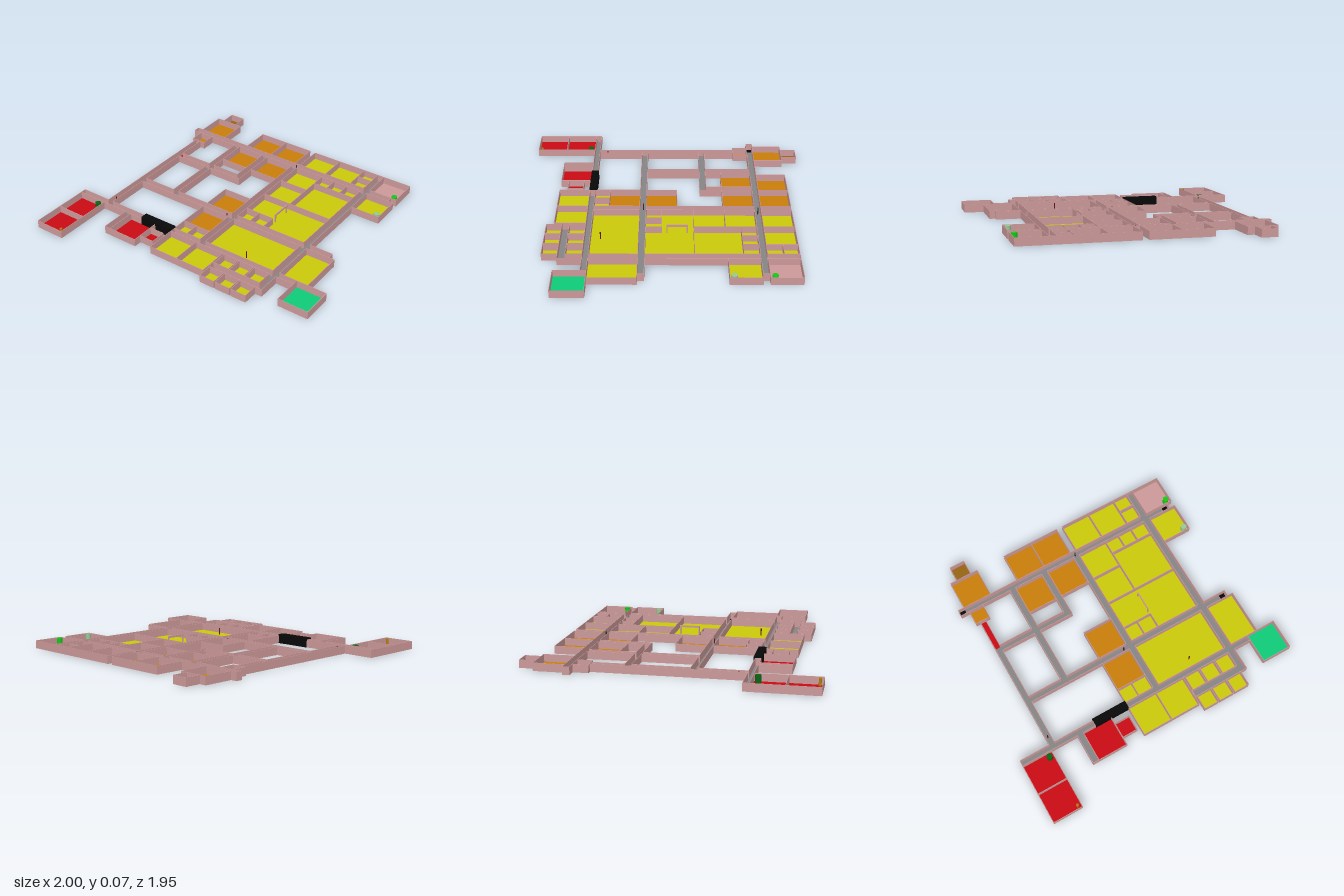
import * as THREE from 'three';

const H = 0.055, T = 0.003, FLOOR = 0.004;
const mats = {};
const mat = c => (mats[c] ??= new THREE.MeshStandardMaterial({ color: c }));
const YELLOW = 0xc8c80a, ORANGE = 0xc87d0a, BROWN = 0x966414, RED = 0xc80a14;
const GREEN = 0x0fca78, PINK = 0xcc9999, GREY = 0x858585, BLACK = 0x080808;

// Rooms by colour: x0, z0, x1, z1
const rooms = [
  [ORANGE, [
    [-0.83, -0.87, -0.62, -0.66], [-0.81, -0.615, -0.705, -0.51],
    [-0.405, -0.87, -0.19, -0.66], [-0.19, -0.87, 0.025, -0.66],
    [-0.445, -0.615, -0.235, -0.4], [-0.19, -0.615, 0.025, -0.4],
    [-0.19, -0.08, 0.025, 0.135], [-0.19, 0.18, 0.025, 0.395]]],
  [BROWN, [[-0.78, -0.98, -0.67, -0.87]]],
  [YELLOW, [
    [-0.19, 0.395, -0.085, 0.5], [-0.085, 0.395, 0.025, 0.5],
    [0.07, -0.87, 0.285, -0.66], [0.285, -0.87, 0.495, -0.66],
    [0.495, -0.87, 0.605, -0.77], [0.495, -0.77, 0.605, -0.66],
    [0.07, -0.615, 0.285, -0.405], [0.07, -0.405, 0.285, -0.19],
    [0.285, -0.615, 0.39, -0.51], [0.39, -0.615, 0.495, -0.51], [0.495, -0.615, 0.605, -0.51],
    [0.285, -0.51, 0.605, -0.19], [0.07, -0.19, 0.605, 0.135],
    [0.07, 0.18, 0.605, 0.5], [0.655, 0.18, 0.865, 0.5], [0.655, -0.615, 0.865, -0.405],
    [-0.19, 0.54, 0.025, 0.755], [0.025, 0.54, 0.24, 0.755]]],
  [PINK, [[0.655, -0.87, 0.865, -0.66]]],
  [GREEN, [[0.785, 0.5, 1, 0.715]]],
  [RED, [
    [-1, 0.54, -0.785, 0.755], [-1, 0.755, -0.785, 0.97],
    [-0.54, 0.54, -0.325, 0.755], [-0.325, 0.59, -0.215, 0.7]]],
];
// Two facing rows of small cells
for (const x of [0.255, 0.375, 0.495])
  rooms[2][1].push([x, 0.54, x + 0.11, 0.65], [x, 0.7, x + 0.11, 0.805]);

// Corridors, open to each other where they meet
const corridors = [
  [GREY, [
    [-0.83, -0.66, 0.785, -0.615], [-0.74, 0.135, 0.785, 0.18],
    [-1, 0.5, -0.445, 0.54], [-0.19, 0.5, 0.785, 0.54],
    [-0.78, -0.29, -0.19, -0.245], [0.245, 0.65, 0.605, 0.7],
    [-0.78, -0.245, -0.74, 0.5], [-0.49, -0.615, -0.445, 0.135],
    [-0.235, -0.615, -0.19, -0.29], [0.025, -0.615, 0.07, 0.5],
    [0.605, -0.87, 0.655, 0.7], [-0.585, 0.54, -0.54, 0.755]]],
  [RED, [[-0.78, -0.51, -0.74, -0.29]]],
  [BLACK, [[-0.875, -0.66, -0.83, -0.615], [0.785, -0.66, 0.825, -0.615], [0.785, 0.135, 0.825, 0.18]]],
];

export function createModel() {
  const root = new THREE.Group();
  const group = name => {
    const g = new THREE.Group();
    g.name = name;
    root.add(g);
    return g;
  };
  const box = (parent, name, c, x0, y0, z0, x1, y1, z1) => {
    const m = new THREE.Mesh(new THREE.BoxGeometry(x1 - x0, y1 - y0, z1 - z0), mat(c));
    m.position.set((x0 + x1) / 2, (y0 + y1) / 2, (z0 + z1) / 2);
    m.name = name;
    parent.add(m);
  };

  // Wall intervals gathered per line so that shared walls are built once
  const lines = new Map();
  const addWall = (axis, at, a, b) => {
    const key = axis + at;
    if (!lines.has(key)) lines.set(key, { axis, at, spans: [] });
    lines.get(key).spans.push([a, b]);
  };
  const edges = ([x0, z0, x1, z1]) => [['x', x0, z0, z1], ['x', x1, z0, z1], ['z', z0, x0, x1], ['z', z1, x0, x1]];

  // Floors
  const floors = group('floors');
  for (const [list, name] of [[rooms, 'roomFloor'], [corridors, 'corridorFloor']])
    for (const [c, rects] of list)
      for (const [x0, z0, x1, z1] of rects) box(floors, name, c, x0, 0, z0, x1, FLOOR, z1);

  // Room walls
  for (const [, rects] of rooms) for (const r of rects) edges(r).forEach(e => addWall(...e));
  addWall('x', 0.175, 0.025, 0.135);
  addWall('x', 0.285, 0.025, 0.135);
  addWall('z', 0.025, 0.07, 0.285);

  // Corridor walls, cut away at junctions
  const halls = corridors.flatMap(([, rects]) => rects);
  for (const r of halls) for (const [axis, at, a, b] of edges(r)) {
    let spans = [[a, b]];
    for (const o of halls) {
      if (o === r) continue;
      const [lo, hi, s, e] = axis === 'x' ? [o[0], o[2], o[1], o[3]] : [o[1], o[3], o[0], o[2]];
      if (at < lo || at > hi) continue;
      spans = spans.flatMap(([p, q]) => [[p, Math.min(q, s)], [Math.max(p, e), q]].filter(v => v[1] - v[0] > 1e-4));
    }
    spans.forEach(s => addWall(axis, at, ...s));
  }

  // Merge overlapping intervals and build the walls
  const walls = group('walls');
  for (const { axis, at, spans } of lines.values()) {
    spans.sort((p, q) => p[0] - q[0]);
    const merged = [];
    for (const [a, b] of spans) {
      const last = merged[merged.length - 1];
      if (last && a <= last[1] + 1e-4) last[1] = Math.max(last[1], b);
      else merged.push([a, b]);
    }
    const h = T / 2;
    for (const [a, b] of merged) {
      if (axis === 'x') box(walls, 'wall', PINK, at - h, 0, a, at + h, H, b);
      else box(walls, 'wall', PINK, a, 0, at - h, b, H, at + h);
    }
  }

  // Solid dark block across the front corridor
  box(root, 'darkBlock', BLACK, -0.445, 0, 0.49, -0.19, 0.065, 0.543);

  // Free-standing arch in the large hall
  const arch = group('arch');
  box(arch, 'archLintel', PINK, 0.281, 0.055, -0.15, 0.289, 0.068, -0.005);
  for (const z of [-0.15, -0.013]) box(arch, 'archPost', PINK, 0.281, 0, z, 0.289, 0.055, z + 0.008);

  // Round tanks and slim posts
  const columns = group('columns');
  for (const [name, c, x, z, r] of [
    ['tank', 0x14c814, 0.835, -0.69, 0.02], ['tank', 0x96c896, 0.835, -0.435, 0.02],
    ['tank', 0x0a6414, -0.815, 0.57, 0.02], ['post', 0xb47d0a, -0.81, 0.945, 0.009],
    ['post', 0x641414, 0.355, 0.435, 0.004], ['post', 0x333333, 0.05, -0.64, 0.004],
    ['post', 0x641414, -0.005, 0.155, 0.004], ['post', 0x641414, -0.76, 0.44, 0.004]]) {
    const m = new THREE.Mesh(new THREE.CylinderGeometry(r, r, 0.05, 24), mat(c));
    m.position.set(x, 0.029, z);
    m.name = name;
    columns.add(m);
  }
  return root;
}
